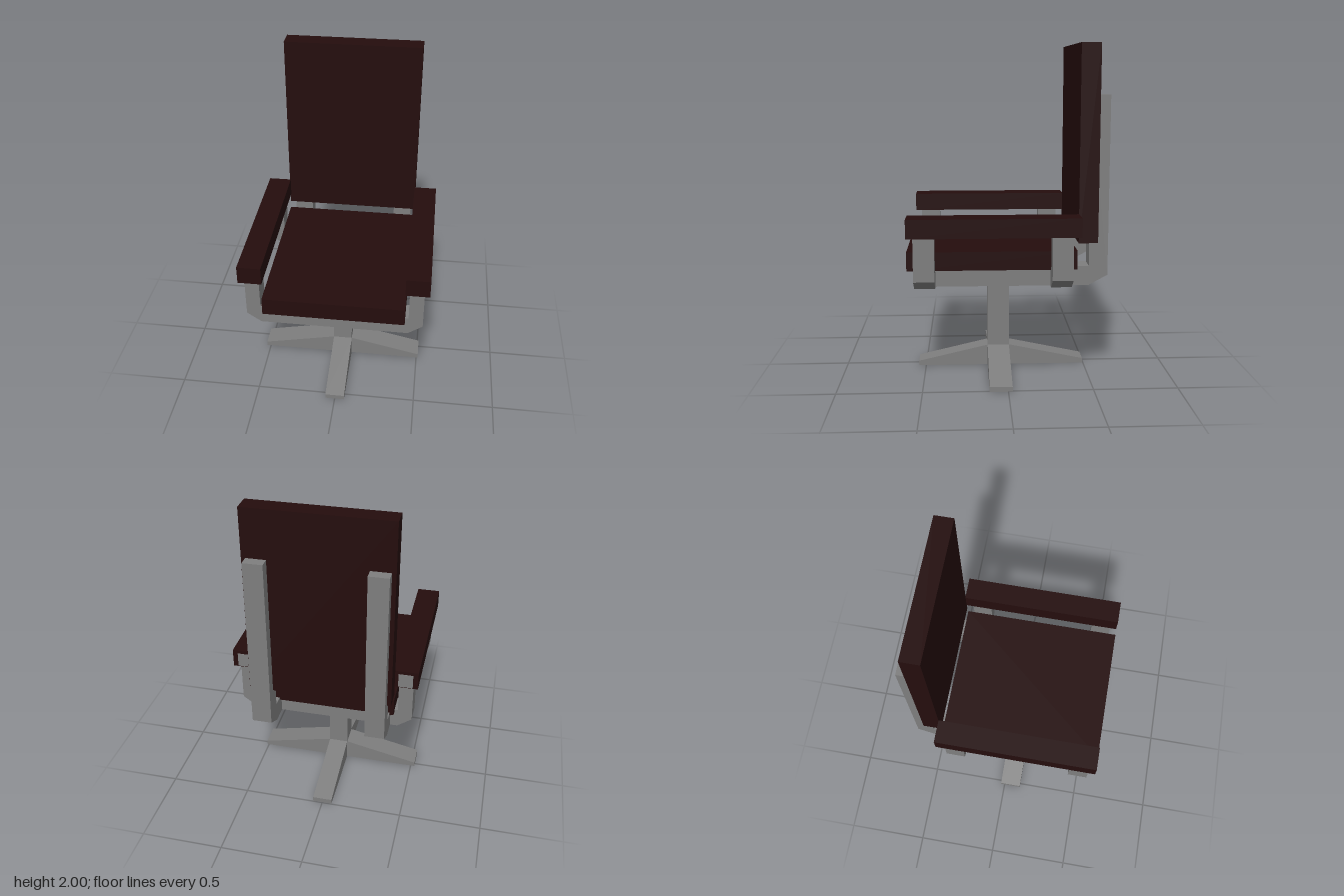
import * as THREE from 'three';

const metal = new THREE.MeshStandardMaterial({ color: 0x7e7e7e });
metal.name = 'grey metal';
const leather = new THREE.MeshStandardMaterial({ color: 0x240d0d });
leather.name = 'dark leather';

// Box given by its minimum and maximum corners
function box(name, mat, [x0, y0, z0], [x1, y1, z1]) {
  const mesh = new THREE.Mesh(new THREE.BoxGeometry(x1 - x0, y1 - y0, z1 - z0), mat);
  mesh.position.set((x0 + x1) / 2, (y0 + y1) / 2, (z0 + z1) / 2);
  mesh.name = name;
  return mesh;
}

// Outline in x, y extruded along z from 0 to depth
function prism(points, depth) {
  const shape = new THREE.Shape(points.map(([x, y]) => new THREE.Vector2(x, y)));
  return new THREE.ExtrudeGeometry(shape, { depth, bevelEnabled: false });
}

export function createModel() {
  const chair = new THREE.Group();
  chair.name = 'swivelChair';
  const add = (...args) => chair.add(box(...args));

  // Cushions
  add('seat', leather, [-0.42, 0.705, -0.405], [0.42, 0.815, 0.585]);
  add('backrest', leather, [-0.42, 0.86, -0.523], [0.42, 2, -0.41]);

  // Armrests, with the end of the metal core showing at the rear
  for (const s of [-1, 1]) {
    const side = s > 0 ? 'left' : 'right';
    const [a, b] = s > 0 ? [0.415, 0.555] : [-0.555, -0.415];
    add(side + 'Armrest', leather, [a, 0.92, -0.412], [b, 1.03, 0.577]);
    const [c, d] = s > 0 ? [0.44, 0.525] : [-0.525, -0.44];
    add(side + 'ArmrestCoreEnd', metal, [c, 0.925, -0.415], [d, 1.01, -0.409]);
  }

  // Two U-shaped frames that carry the armrests
  const uFrame = [
    [-0.44, 0.605], [0.44, 0.605], [0.525, 0.665], [0.525, 0.925], [0.44, 0.925],
    [0.44, 0.72], [-0.44, 0.72], [-0.44, 0.925], [-0.525, 0.925], [-0.525, 0.665],
  ];
  [['frontArmFrame', 0.42], ['rearArmFrame', -0.37]].forEach(([name, z]) => {
    const frame = new THREE.Mesh(prism(uFrame, 0.12), metal);
    frame.position.z = z;
    frame.name = name;
    chair.add(frame);
  });

  // Two L-shaped rails under the seat that rise behind the backrest
  const lRail = [
    [-0.42, 0.605], [0.475, 0.605], [0.585, 0.665], [0.585, 1.71],
    [0.475, 1.71], [0.475, 0.72], [-0.42, 0.72],
  ];
  [['leftBackRail', 0.28], ['rightBackRail', -0.396]].forEach(([name, x]) => {
    const rail = new THREE.Mesh(prism(lRail, 0.116), metal);
    rail.rotation.y = Math.PI / 2; // outline x becomes -z
    rail.position.x = x;
    rail.name = name;
    chair.add(rail);
  });

  // Column and the slanted bracket joining it to one rail
  add('column', metal, [-0.06, 0.03, -0.025], [0.06, 0.68, 0.11]);
  const bracketGeo = prism([[0.05, 0.558], [0.29, 0.607], [0.29, 0.715], [0.05, 0.68]], 0.135);
  const p = bracketGeo.attributes.position;
  for (let i = 0; i < p.count; i++) {
    p.setZ(i, p.getZ(i) - 0.025 + (p.getX(i) - 0.05) * 0.09);
  }
  bracketGeo.computeVertexNormals();
  const bracket = new THREE.Mesh(bracketGeo, metal);
  bracket.name = 'columnBracket';
  chair.add(bracket);

  // Cross base: one tapered pair of feet along each axis
  const feet = (name, a, b, c, d, width) => {
    const mesh = new THREE.Mesh(
      prism([[a, 0], [d, 0], [d, 0.03], [c, 0.13], [b, 0.13], [a, 0.03]], width), metal);
    mesh.name = name;
    chair.add(mesh);
    return mesh;
  };
  feet('sideFeet', -0.525, -0.06, 0.06, 0.51, 0.135).position.z = -0.025;
  const lengthwise = feet('frontAndRearFeet', -0.545, -0.11, 0.025, 0.495, 0.12);
  lengthwise.rotation.y = Math.PI / 2;
  lengthwise.position.x = -0.06;

  return chair;
}
